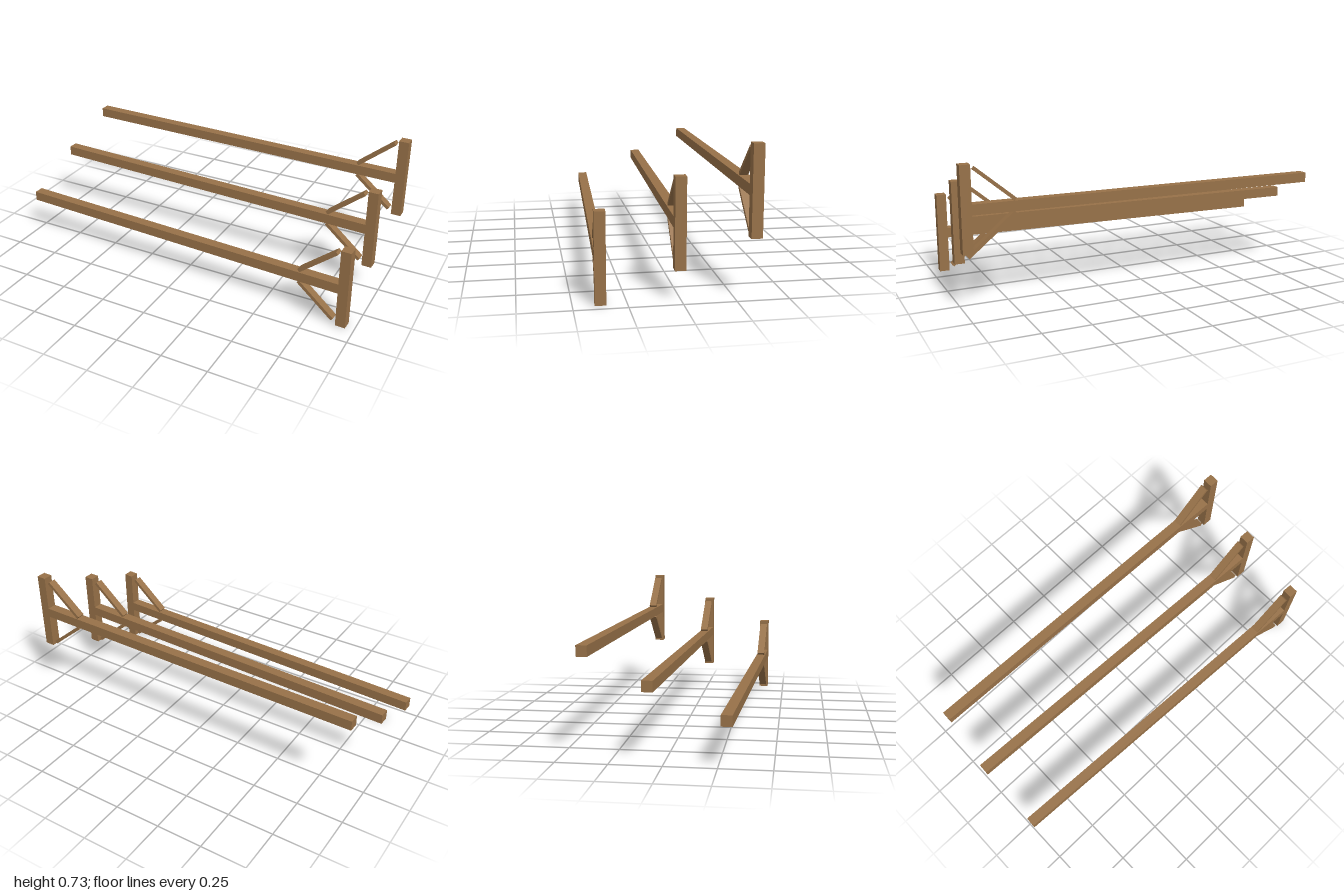
import * as THREE from 'three';

export function createModel() {
  const wood = new THREE.MeshStandardMaterial({ color: 0x977148 });
  wood.name = 'wood brown';

  const T = 0.053;        // timber thickness
  const POST = 0.437;     // post height
  const LENGTH = 1.956;   // overall length, post included

  const addBox = (parent, name, size, position, tilt = 0) => {
    const mesh = new THREE.Mesh(new THREE.BoxGeometry(...size), wood);
    mesh.name = name;
    mesh.position.set(...position);
    mesh.rotation.z = tilt;
    parent.add(mesh);
  };

  // One braced beam; its origin is the middle of the post's outer face
  const bracedBeam = () => {
    const g = new THREE.Group();
    addBox(g, 'post', [T, POST, T], [-T / 2, 0, 0]);
    addBox(g, 'beam', [LENGTH - T, T, T], [-(LENGTH + T) / 2, 0, 0]);

    // Diagonal braces above and below the beam
    const x0 = -0.269, y0 = 0.032, x1 = -0.074, y1 = 0.195;
    const length = Math.hypot(x1 - x0, y1 - y0);
    const angle = Math.atan2(y1 - y0, x1 - x0);
    for (const s of [1, -1]) {
      addBox(g, s > 0 ? 'upperBrace' : 'lowerBrace', [length, 0.018, 0.043],
        [(x0 + x1) / 2, s * (y0 + y1) / 2, 0], s * angle);
    }
    return g;
  };

  // Outer end position and slight turn of each beam
  const beams = [
    ['backBeam', 0.999, 0.514, -0.337, 0.019],
    ['middleBeam', 0.959, 0.367, 0.007, 0.038],
    ['frontBeam', 0.956, 0.2215, 0.3735, 0.043],
  ];
  const model = new THREE.Group();
  model.name = 'bracedBeams';
  for (const [name, x, y, z, turn] of beams) {
    const beam = bracedBeam();
    beam.name = name;
    beam.position.set(x, y, z);
    beam.rotation.y = -turn;
    model.add(beam);
  }
  return model;
}
